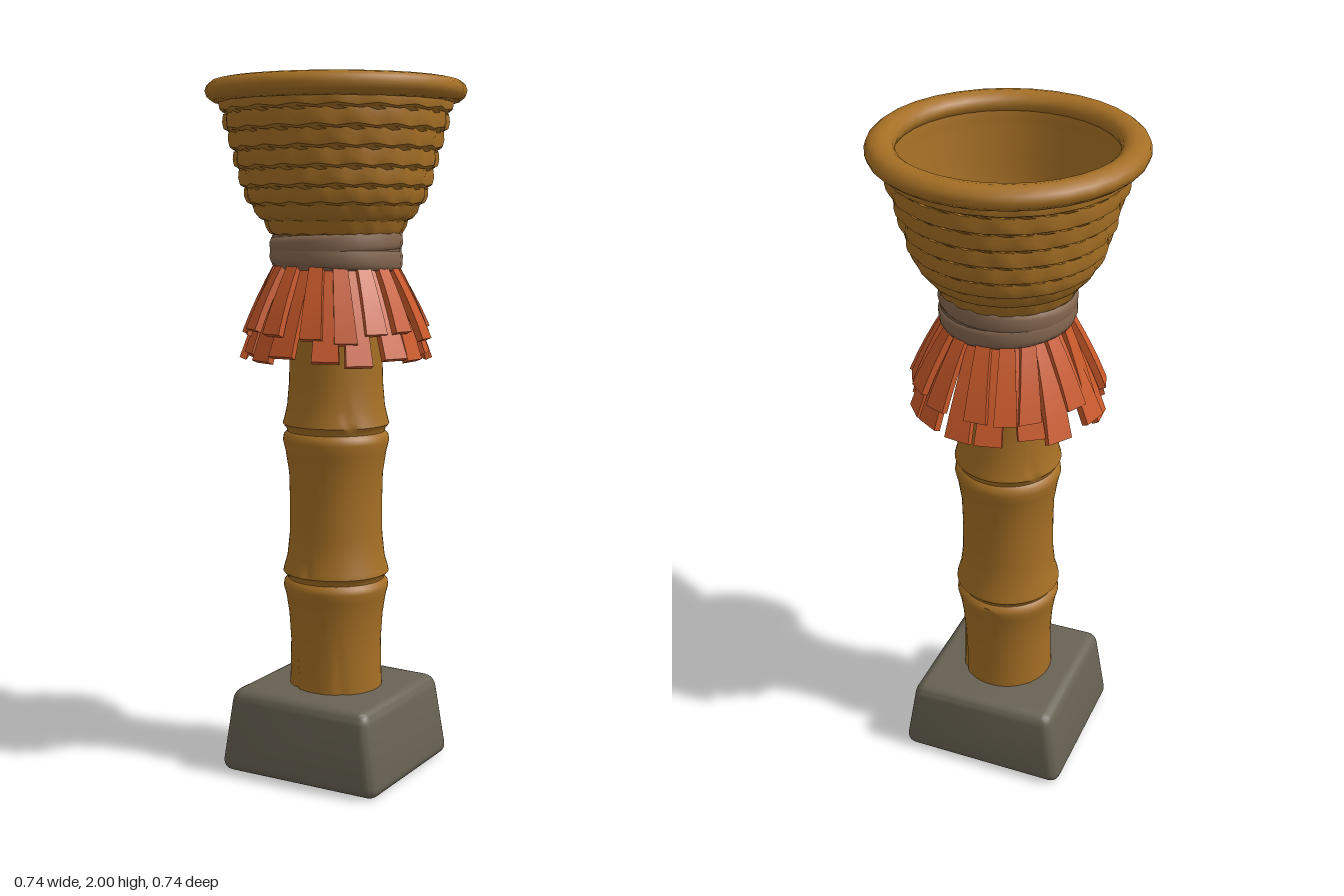
import * as THREE from 'three';
import { toCreasedNormals } from 'three/addons/utils/BufferGeometryUtils.js';
import { RoundedBoxGeometry } from 'three/addons/geometries/RoundedBoxGeometry.js';

const material = (name, color, side = THREE.FrontSide) => {
  const m = new THREE.MeshStandardMaterial({ color, side });
  m.name = name;
  return m;
};

const points = list => list.map(([r, y]) => new THREE.Vector2(r, y));

// Move every vertex of a geometry by a rule
function deform(geometry, rule) {
  const p = geometry.attributes.position;
  const v = new THREE.Vector3();
  for (let i = 0; i < p.count; i++) {
    v.fromBufferAttribute(p, i);
    rule(v);
    p.setXYZ(i, v.x, v.y, v.z);
  }
  geometry.computeVertexNormals();
  return geometry;
}

export function createModel() {
  const model = new THREE.Group();
  const bamboo = material('bamboo brown', 0xa56f24);
  const bambooOpen = material('open bamboo brown', 0xa56f24, THREE.DoubleSide);
  const stone = material('stone grey', 0x686253);
  const rope = material('rope brown', 0x856750);
  const straw = material('straw orange', 0xc9592a);

  const add = (name, geometry, mat, parent = model) => {
    const mesh = new THREE.Mesh(geometry, mat);
    mesh.name = name;
    parent.add(mesh);
    return mesh;
  };

  // Stone foot: rounded block, narrower and slightly uneven at the top
  const block = deform(new RoundedBoxGeometry(0.525, 0.245, 0.485, 3, 0.035), v => {
    const t = (v.y + 0.1225) / 0.245;
    v.x *= 1 - 0.15 * t;
    v.z *= 1 - 0.05 * t;
    v.y += 0.1225 + t * (0.004 - 0.02 * v.x);
  });
  add('stoneFoot', toCreasedNormals(block, 0.7), stone);

  // Hollow bamboo stalk with two knuckles and a few small cracks
  const stalkProfile = points([
    [0.139, 0.2], [0.135, 0.28], [0.133, 0.38], [0.138, 0.46], [0.147, 0.52],
    [0.154, 0.545], [0.152, 0.56], [0.141, 0.57], [0.143, 0.578], [0.155, 0.59], [0.152, 0.605],
    [0.143, 0.635], [0.136, 0.7], [0.135, 0.8], [0.137, 0.88], [0.147, 0.945],
    [0.155, 0.978], [0.152, 0.995], [0.142, 1.005], [0.145, 1.015], [0.155, 1.027], [0.15, 1.045],
    [0.142, 1.08], [0.136, 1.15], [0.134, 1.25], [0.135, 1.435],
  ]);
  const cracks = [[0.6, 0.24, 0.06], [2.2, 0.26, 0.05], [5.7, 0.24, 0.06], [6.1, 0.62, 0.03],
    [0.85, 1.045, 0.03], [4.1, 1.045, 0.03], [3.2, 0.53, 0.03]];
  const stalk = deform(new THREE.LatheGeometry(stalkProfile, 48), v => {
    const a = (Math.atan2(v.x, v.z) + Math.PI * 2) % (Math.PI * 2);
    for (const [angle, y, reach] of cracks) {
      if (Math.abs(a - angle) < 0.066 && Math.abs(v.y - y) < reach) {
        v.x *= 0.95;
        v.z *= 0.95;
      }
    }
  });
  add('bambooStalk', toCreasedNormals(stalk, 0.9), bambooOpen);

  // Straw skirt: bent, widening strips in two layers
  const skirt = new THREE.Group();
  skirt.name = 'strawSkirt';
  model.add(skirt);
  let seed = 7;
  const random = () => (seed = (seed * 16807) % 2147483647) / 2147483647;
  const strip = (angle, topY, endY, topR, endR, width, lean) => {
    const g = deform(new THREE.BoxGeometry(1, 1, 1, 1, 4, 1), v => {
      const t = 0.5 - v.y;
      v.x = v.x * width * (0.62 + 0.38 * t) + lean * t;
      v.y = topY + (endY - topY) * t + v.z * 0.008;
      v.z = topR + (endR - topR) * (1.2 * t - 0.2 * t * t) + v.z * 0.018;
    });
    add('strawStrip', toCreasedNormals(g, 0.6), straw, skirt).rotation.y = angle;
  };
  const count = 17;
  for (let i = 0; i < count; i++) {
    const a = (i / count) * Math.PI * 2;
    const wobble = () => random() - 0.5;
    strip(a + wobble() * 0.08, 1.485, 1.225 + wobble() * 0.025, 0.152,
      0.268 + wobble() * 0.02, 0.076, wobble() * 0.04);
    strip(a + 0.18 + wobble() * 0.1, 1.485, 1.285 + wobble() * 0.04, 0.168,
      0.262 + wobble() * 0.025, 0.064, wobble() * 0.05);
  }

  // Rope binding: rounded collar with a slanted wrap over it
  const collar = points([[0.146, 1.48], [0.172, 1.472], [0.184, 1.485], [0.187, 1.525],
    [0.184, 1.565], [0.172, 1.582], [0.146, 1.575], [0.146, 1.48]]);
  add('ropeCollar', toCreasedNormals(new THREE.LatheGeometry(collar, 28), 0.9), rope);
  const wrap = points([[0.165, -0.03], [0.184, -0.03], [0.191, -0.015], [0.191, 0.015],
    [0.184, 0.03], [0.165, 0.03]]);
  for (const [y, tiltX, tiltZ] of [[1.545, 0.04, 0.06], [1.507, -0.04, -0.05]]) {
    const band = add('ropeWrap', new THREE.LatheGeometry(wrap, 28), rope);
    band.position.y = y;
    band.rotation.set(tiltX, 0, tiltZ);
  }

  // Woven basket wall: overlapping rows whose bulges alternate around the bowl
  const wallCurve = new THREE.SplineCurve(points([[0.176, 1.565], [0.203, 1.605], [0.236, 1.645],
    [0.262, 1.7], [0.289, 1.8], [0.312, 1.88], [0.329, 1.96]]));
  const rows = 8;
  const profile = [];
  for (let row = 0; row < rows; row++) {
    for (const [f, out] of [[0.02, -0.004], [0.14, 0.006], [0.5, 0.005], [0.92, -0.003]]) {
      const p = wallCurve.getPointAt((row + f) / rows);
      profile.push(new THREE.Vector2(p.x + out, p.y));
    }
  }
  const wall = new THREE.LatheGeometry(profile, 72);
  const perColumn = profile.length;
  const wp = wall.attributes.position;
  for (let i = 0; i < wp.count; i++) {
    const row = Math.floor((i % perColumn) / 4);
    const column = Math.floor(i / perColumn);
    const bulge = Math.cos((column / 72) * Math.PI * 2 * 18 + row * Math.PI);
    const r = Math.hypot(wp.getX(i), wp.getZ(i));
    const k = 1 + (0.005 * bulge) / r;
    wp.setXYZ(i, wp.getX(i) * k, wp.getY(i) + 0.003 * bulge, wp.getZ(i) * k);
  }
  wall.computeVertexNormals();
  add('basketWall', toCreasedNormals(wall, 0.6), bamboo);

  // Smooth stepped lining, open at the bottom
  const lining = points([[0.3, 1.97], [0.291, 1.93], [0.293, 1.9], [0.28, 1.86], [0.282, 1.83],
    [0.267, 1.78], [0.267, 1.75], [0.248, 1.7], [0.238, 1.67], [0.21, 1.63], [0.18, 1.6],
    [0.146, 1.57], [0.178, 1.565]]);
  add('basketLining', toCreasedNormals(new THREE.LatheGeometry(lining, 32), 0.9), bambooOpen);

  // Thick rolled rim
  const rim = new THREE.TorusGeometry(0.33, 0.04, 12, 32);
  rim.rotateX(Math.PI / 2);
  rim.scale(1, 0.8, 1);
  add('basketRim', rim, bamboo).position.y = 1.968;

  return model;
}
